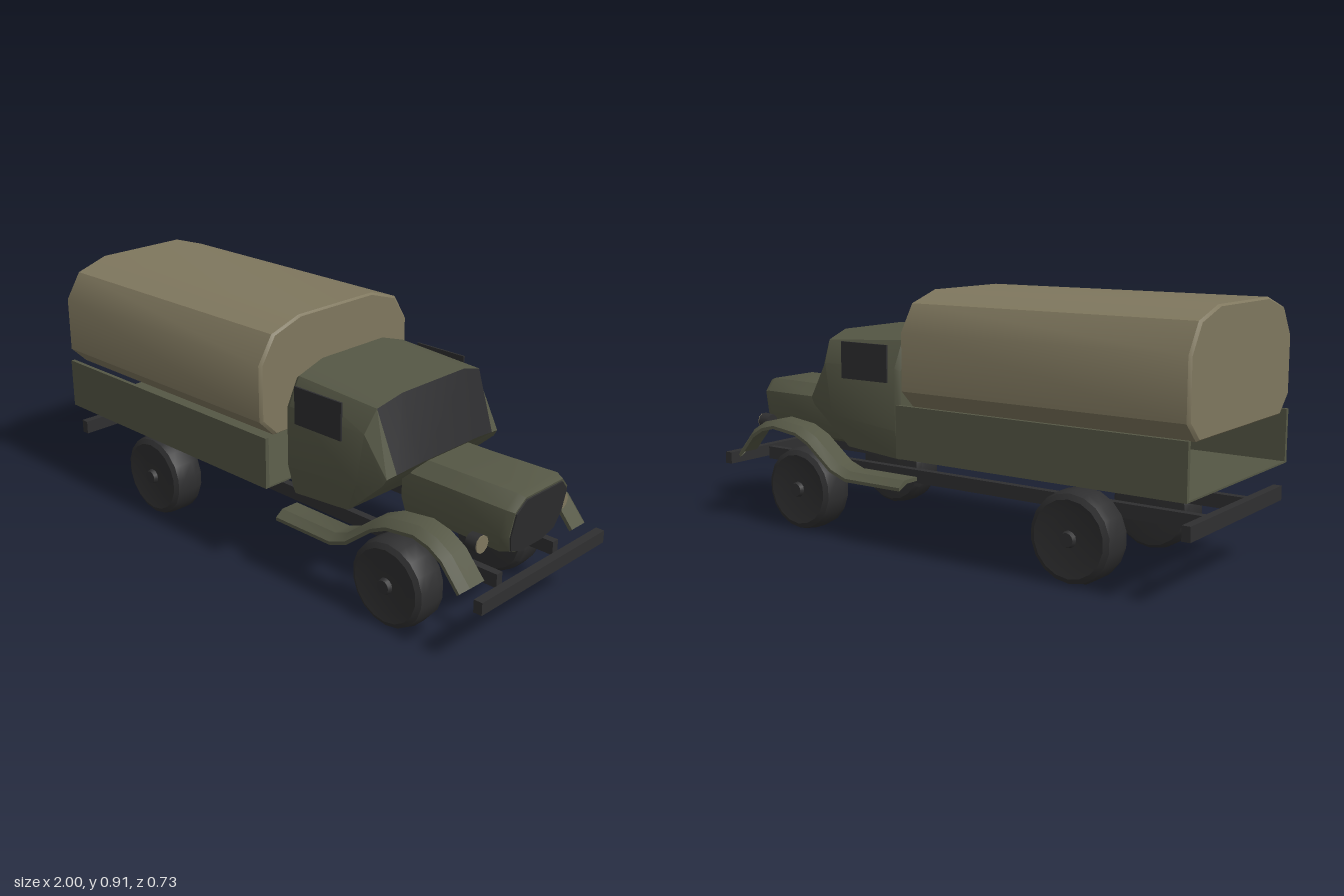
import * as THREE from 'three';
import { toCreasedNormals } from 'three/addons/utils/BufferGeometryUtils.js';

// Skin closed rings (counter-clockwise seen from +x) and cap both ends.
// stripMaterial(section, edge) picks a material index; caps use index 0.
function loft(rings, crease = 0.6, stripMaterial = () => 0) {
  const buckets = [[], []];
  const n = rings[0].length;
  for (let s = 0; s < rings.length - 1; s++) {
    for (let j = 0; j < n; j++) {
      const k = (j + 1) % n;
      const [a, b, c, d] = [rings[s][j], rings[s][k], rings[s + 1][k], rings[s + 1][j]];
      buckets[stripMaterial(s, j)].push(...a, ...b, ...c, ...a, ...c, ...d);
    }
  }
  const cap = (ring, flip) => {
    const mid = [0, 1, 2].map(i => ring.reduce((sum, p) => sum + p[i], 0) / n);
    ring.forEach((p, j) => {
      const q = ring[(j + 1) % n];
      buckets[0].push(...mid, ...(flip ? q : p), ...(flip ? p : q));
    });
  };
  cap(rings[0], true);
  cap(rings[rings.length - 1], false);
  const geo = new THREE.BufferGeometry();
  geo.setAttribute('position', new THREE.Float32BufferAttribute(buckets.flat(), 3));
  const out = toCreasedNormals(geo, crease);
  out.clearGroups();
  out.addGroup(0, buckets[0].length / 3, 0);
  if (buckets[1].length) out.addGroup(buckets[0].length / 3, buckets[1].length / 3, 1);
  return out;
}

// Complete a ring from its +z half, listed top to bottom.
const mirrored = half => [...half, ...half.map(([x, y, z]) => [x, y, -z]).reverse()];

export function createModel() {
  const truck = new THREE.Group();
  truck.name = 'truck';
  const material = (name, color) => {
    const m = new THREE.MeshStandardMaterial({ color });
    m.name = name;
    return m;
  };
  const olive = material('olive paint', 0x555745);
  const canvas = material('canvas', 0x7f775e);
  const dark = material('dark rubber and metal', 0x2f2f30);
  const glass = material('dark glass', 0x2d2d2f);

  const add = (name, geo, mat, x = 0, y = 0, z = 0) => {
    const mesh = new THREE.Mesh(geo, mat);
    mesh.name = name;
    mesh.position.set(x, y, z);
    truck.add(mesh);
    return mesh;
  };
  // Box given by its limits
  const box = (name, mat, x0, x1, y0, y1, z0, z1) =>
    add(name, new THREE.BoxGeometry(x1 - x0, y1 - y0, z1 - z0), mat,
      (x0 + x1) / 2, (y0 + y1) / 2, (z0 + z1) / 2);

  // Canvas cover with slightly bevelled ends
  const coverHalf = [[0.91, 0.18], [0.87, 0.305], [0.775, 0.365],
    [0.575, 0.365], [0.513, 0.302]];
  const coverRing = (x, k) => mirrored(coverHalf.map(([y, z]) =>
    [x, 0.7 + (y - 0.7) * k, z * k]));
  add('canvasCover', loft([coverRing(-1, 0.97), coverRing(-0.992, 1),
    coverRing(0.077, 1), coverRing(0.085, 0.97)]), canvas);

  // Open-ended cargo bed
  box('bedFloor', olive, -1, 0.105, 0.34, 0.346, -0.355, 0.355);

  // Bumpers
  box('frontBumper', dark, 0.968, 1, 0.208, 0.252, -0.328, 0.328);
  box('rearBumper', dark, -1, -0.97, 0.215, 0.265, -0.335, 0.335);

  // Cab: back edge, body, windshield top, then the cowl
  const cabRings = [
    [[0.14, 0.752, 0.145], [0.14, 0.72, 0.25], [0.14, 0.63, 0.295],
      [0.14, 0.42, 0.295], [0.14, 0.325, 0.27]],
    [[0.16, 0.77, 0.15], [0.16, 0.735, 0.26], [0.16, 0.64, 0.305],
      [0.16, 0.42, 0.305], [0.16, 0.315, 0.28]],
    [[0.52, 0.745, 0.155], [0.505, 0.715, 0.258], [0.49, 0.635, 0.3],
      [0.46, 0.45, 0.302], [0.4, 0.335, 0.28]],
    [[0.6, 0.525, 0.15], [0.582, 0.507, 0.245], [0.575, 0.5, 0.285],
      [0.56, 0.475, 0.287], [0.41, 0.34, 0.275]],
  ].map(mirrored);
  const windshield = (s, j) => (s === 2 && [0, 8, 9].includes(j) ? 1 : 0);
  add('cab', loft(cabRings, 0.5, windshield), [olive, glass]);

  // Hood, with its nose leaning back towards the bottom
  const noseHalf = [[0.52, 0.105], [0.475, 0.15], [0.38, 0.152],
    [0.315, 0.13], [0.29, 0.065]];
  const hoodRing = (x, lean, k, drop = 0) => mirrored(noseHalf.map(([y, z]) =>
    [x - (0.52 - y) * lean, 0.4 + (y - 0.4) * k - drop, z * k]));
  add('hood', loft([hoodRing(0.52, 0, 0.97), hoodRing(0.7, 0, 0.97),
    hoodRing(0.945, 0.17, 1), hoodRing(0.972, 0.17, 0.92)]), olive);
  add('grille', loft([hoodRing(0.968, 0.17, 0.89, 0.003),
    hoodRing(0.976, 0.17, 0.88, 0.003)], 0.3), dark);

  // Wheel profile: radius against offset along the axle
  const tyre = new THREE.LatheGeometry([[0, -0.065], [0.1, -0.065], [0.138, -0.062],
    [0.152, -0.045], [0.155, -0.02], [0.155, 0.03], [0.148, 0.055], [0.13, 0.065],
    [0.09, 0.06], [0, 0.06]].map(p => new THREE.Vector2(...p)), 18);
  const hub = new THREE.CylinderGeometry(0.024, 0.031, 0.022, 12);

  // Fender and running board: top line, swept by a drooping cross-section
  const fenderPath = [[0.12, 0.25], [0.37, 0.25], [0.43, 0.272], [0.54, 0.358],
    [0.61, 0.39], [0.73, 0.405], [0.8, 0.388], [0.86, 0.352], [0.935, 0.265]]
    .map(p => new THREE.Vector2(...p));
  const fenderSection = [[0, 0.235], [0, 0.305], [-0.022, 0.335],
    [-0.034, 0.335], [-0.014, 0.3], [-0.014, 0.235]];
  const fenderRings = side => fenderPath.map((p, i) => {
    const next = fenderPath[Math.min(i + 1, fenderPath.length - 1)];
    const t = next.clone().sub(fenderPath[Math.max(i - 1, 0)]).normalize();
    const ring = fenderSection.map(([h, z]) => [p.x - t.y * h, p.y + t.x * h, z * side]);
    return side > 0 ? ring : ring.reverse();
  });

  for (const [side, s] of [['left', -1], ['right', 1]]) {
    const span = (a, b) => (s > 0 ? [a, b] : [-b, -a]);
    box(side + 'BedSide', olive, -1, 0.105, 0.34, 0.525, ...span(0.35, 0.365));
    box(side + 'ChassisRail', dark, -0.985, 0.93, 0.207, 0.255, ...span(0.136, 0.164));
    box(side + 'SideWindow', glass, 0.19, 0.4, 0.588, 0.72, ...span(0.305, 0.312));
    add(side + 'Fender', loft(fenderRings(s), 0.5), olive);

    // Headlight with a pale lens
    const lamp = add(side + 'Headlight', new THREE.CylinderGeometry(0.031, 0.028, 0.042, 10),
      dark, 0.879, 0.369, s * 0.213);
    lamp.rotation.z = -Math.PI / 2;
    const lens = add(side + 'HeadlightLens', new THREE.CylinderGeometry(0.03, 0.03, 0.004, 10),
      canvas, 0.902, 0.369, s * 0.213);
    lens.rotation.z = -Math.PI / 2;

    // Wheels and hubs
    for (const [end, x] of [['Front', 0.615], ['Rear', -0.57]]) {
      add(side + end + 'Wheel', toCreasedNormals(tyre, 0.6), dark, x, 0.155, s * 0.265)
        .rotation.x = s * Math.PI / 2;
      add(side + end + 'Hub', hub, dark, x, 0.155, s * 0.329).rotation.x = s * Math.PI / 2;
    }
  }
  return truck;
}
